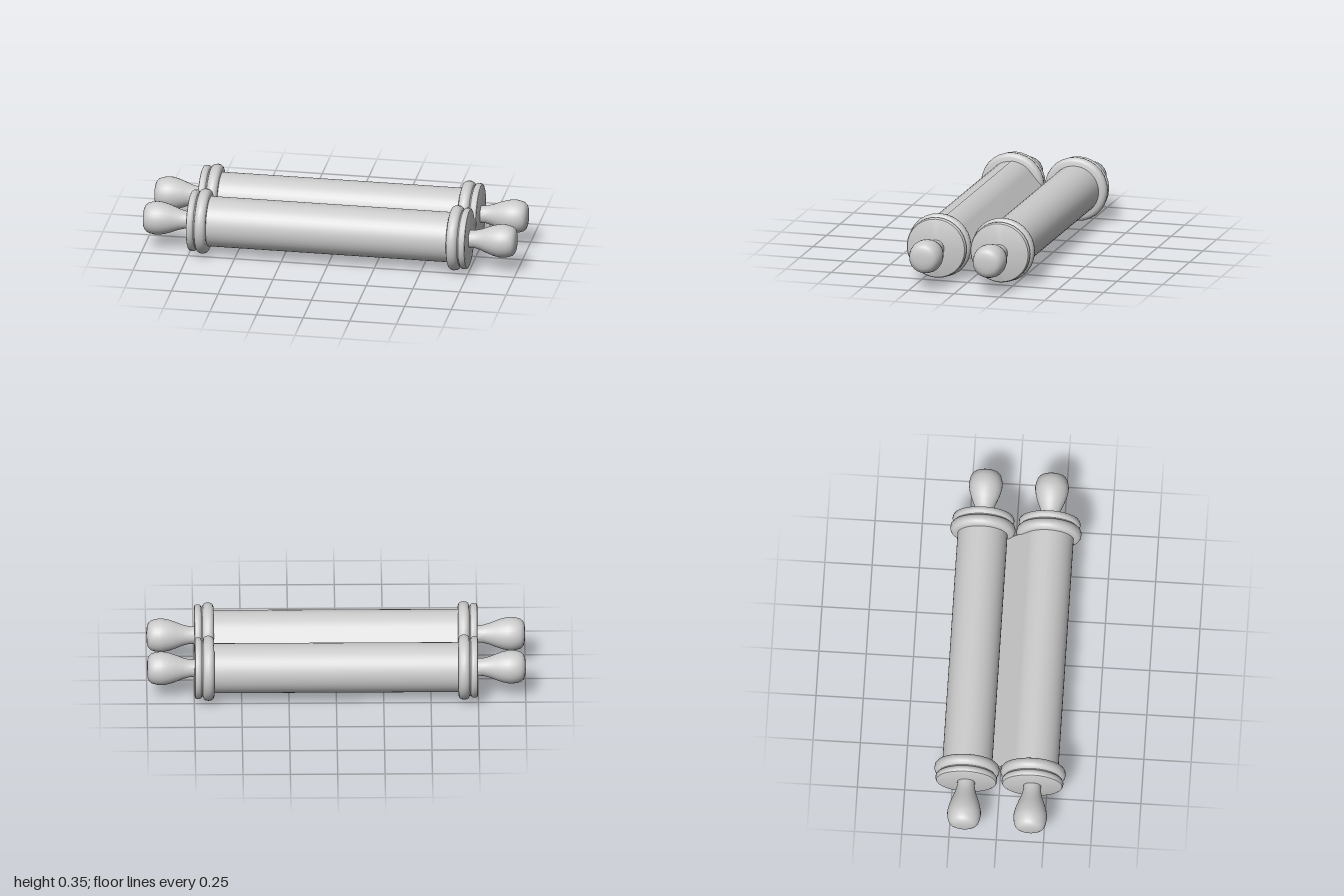
import * as THREE from 'three';
import { toCreasedNormals } from 'three/addons/utils/BufferGeometryUtils.js';

const AXIS_Y = 0.174, AXIS_Z = 0.175, ROLL_R = 0.132, HALF_LENGTH = 0.65;

const material = new THREE.MeshStandardMaterial({ color: 0xcccccc });
const sheetMaterial = new THREE.MeshStandardMaterial({ color: 0xcccccc, side: THREE.DoubleSide });

// Turned part: profile of [radius, distance along the axis]
function turned(name, profile, crease) {
  const points = profile.map(([r, d]) => new THREE.Vector2(r, d));
  const geometry = toCreasedNormals(new THREE.LatheGeometry(points, 28), crease);
  const mesh = new THREE.Mesh(geometry, material);
  mesh.name = name;
  return mesh;
}

// One end: two rounded rings and a bulb-shaped handle, pointing up +y
function createEnd() {
  const end = new THREE.Group();
  end.add(turned('largeRing', [
    [0, 0.645], [0.15, 0.645], [0.163, 0.65], [0.17, 0.66], [0.173, 0.675],
    [0.17, 0.69], [0.163, 0.7], [0.15, 0.705], [0, 0.705],
  ], 0.7));
  end.add(turned('smallRing', [
    [0, 0.7], [0.15, 0.7], [0.15, 0.71], [0.158, 0.714], [0.163, 0.722], [0.163, 0.736],
    [0.158, 0.745], [0.15, 0.748], [0, 0.748],
  ], 0.7));
  end.add(turned('handle', [
    [0.046, 0.745], [0.047, 0.775], [0.056, 0.81], [0.07, 0.845], [0.082, 0.88], [0.088, 0.91],
    [0.089, 0.93], [0.085, 0.955], [0.078, 0.977], [0.066, 0.99], [0.052, 0.996], [0.028, 1], [0, 1],
  ], 0.6));
  return end;
}

function createRoller(name) {
  const roller = new THREE.Group();
  roller.name = name;
  const roll = new THREE.Mesh(new THREE.CylinderGeometry(ROLL_R, ROLL_R, 2 * HALF_LENGTH, 40), material);
  roll.name = 'parchmentRoll';
  roll.rotation.z = Math.PI / 2;
  roller.add(roll);
  for (const side of [1, -1]) {
    const end = createEnd();
    end.name = side > 0 ? 'leftEnd' : 'rightEnd';
    end.rotation.z = -side * Math.PI / 2;
    roller.add(end);
  }
  return roller;
}

// Sheet: over the front roll, straight across, and under the back roll
function createSheet() {
  const r = ROLL_R + 0.002, steps = 8;
  const tangent = Math.asin(r / AXIS_Z);
  const path = [];
  for (let i = 0; i <= steps; i++) {
    const a = tangent * i / steps;
    path.push([r * Math.cos(a), AXIS_Z - r * Math.sin(a)]);
  }
  const mirrored = path.map(([y, z]) => [-y, -z]).reverse();
  path.push(...mirrored);

  const geometry = new THREE.PlaneGeometry(2 * HALF_LENGTH, 1, 1, path.length - 1);
  const position = geometry.attributes.position;
  for (let i = 0; i < position.count; i++) {
    const [y, z] = path[Math.floor(i / 2)];
    position.setXYZ(i, -position.getX(i), y + AXIS_Y, z);
  }
  geometry.computeVertexNormals();
  const sheet = new THREE.Mesh(geometry, sheetMaterial);
  sheet.name = 'parchmentSheet';
  return sheet;
}

export function createModel() {
  const model = new THREE.Group();
  model.name = 'scroll';
  for (const side of [1, -1]) {
    const roller = createRoller(side > 0 ? 'frontRoller' : 'backRoller');
    roller.position.set(0, AXIS_Y, side * AXIS_Z);
    model.add(roller);
  }
  model.add(createSheet());
  return model;
}
